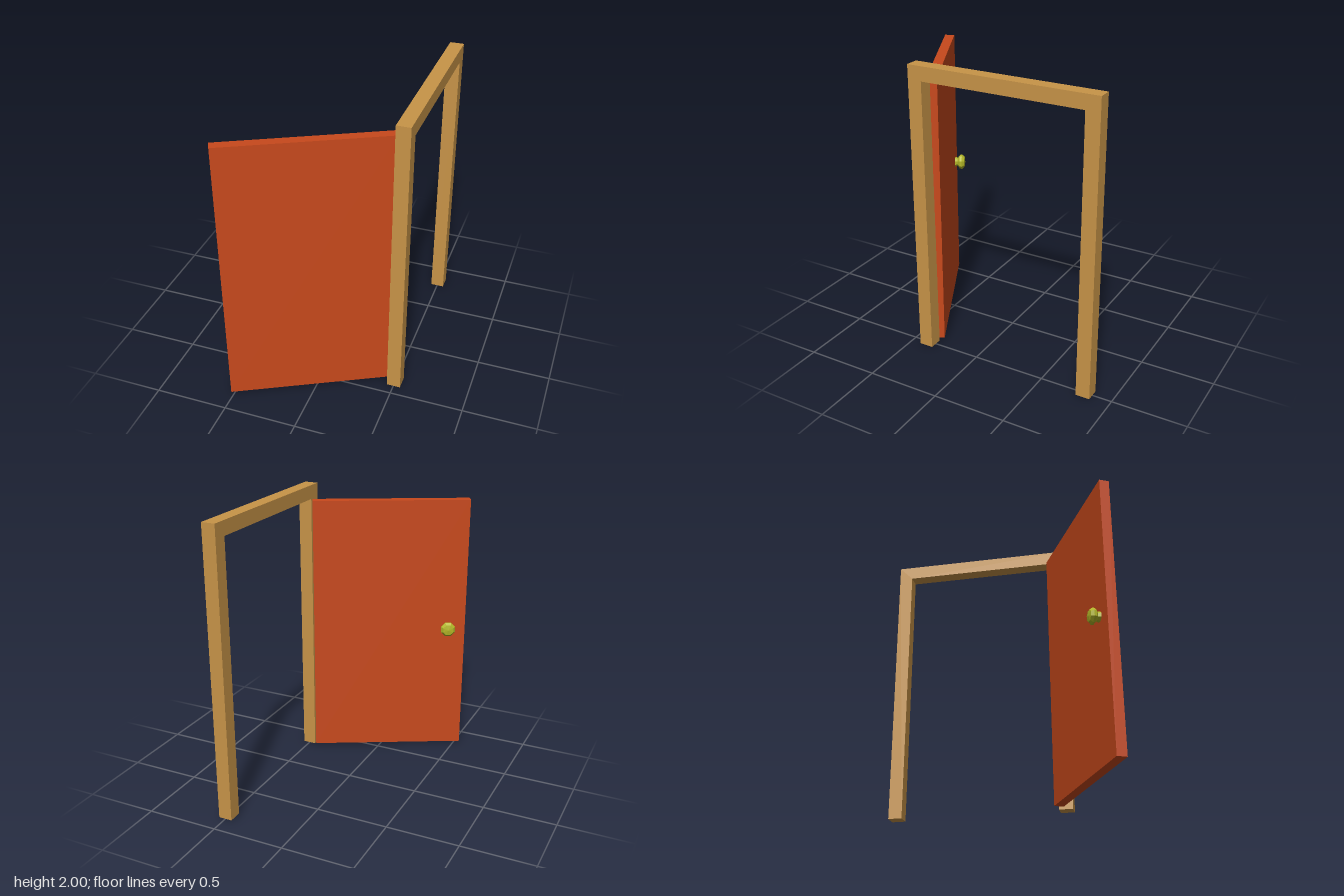
import * as THREE from 'three';

const paint = (color) => new THREE.MeshStandardMaterial({ color, flatShading: true });

function makePart(name, geometry, material, parent) {
  const mesh = new THREE.Mesh(geometry, material);
  mesh.name = name;
  parent.add(mesh);
  return mesh;
}

export function createModel() {
  const model = new THREE.Group();
  model.name = 'openDoor';

  // Door frame: two posts and a lintel as one outline, drawn in the z-y plane
  const front = 0.427, back = -0.867, height = 2, bar = 0.096;
  const outline = new THREE.Shape([
    [back, 0], [back + bar, 0], [back + bar, height - bar], [front - bar, height - bar],
    [front - bar, 0], [front, 0], [front, height], [back, height],
  ].map(([z, y]) => new THREE.Vector2(z, y)));
  const frameGeometry = new THREE.ExtrudeGeometry(outline, { depth: 0.094, bevelEnabled: false });
  const frame = makePart('doorFrame', frameGeometry, paint(0xc89448), model);
  frame.rotation.y = -Math.PI / 2;
  frame.position.x = 0.547;

  // Door leaf: swung open, leaning back very slightly
  const width = 1.098, thickness = 0.067;
  const door = new THREE.Group();
  door.name = 'door';
  door.rotation.order = 'YXZ';
  door.rotation.set(-0.005, THREE.MathUtils.degToRad(27.4), 0);
  door.position.set(-0.045, 0.96, 0.582);
  model.add(door);
  makePart('doorPanel', new THREE.BoxGeometry(width, 1.88, thickness), paint(0xc8491c), door);

  // Faceted knob on the back face, near the free edge
  const profile = [[0.038, -0.003], [0.03, 0.02], [0.052, 0.036], [0.055, 0.052], [0.04, 0.07], [0, 0.076]]
    .map(([r, y]) => new THREE.Vector2(r, y));
  const knob = makePart('doorKnob', new THREE.LatheGeometry(profile, 8, Math.PI / 8), paint(0xb4b828), door);
  knob.rotation.x = -Math.PI / 2;
  knob.position.set(-0.42, 0, -thickness / 2);

  return model;
}
